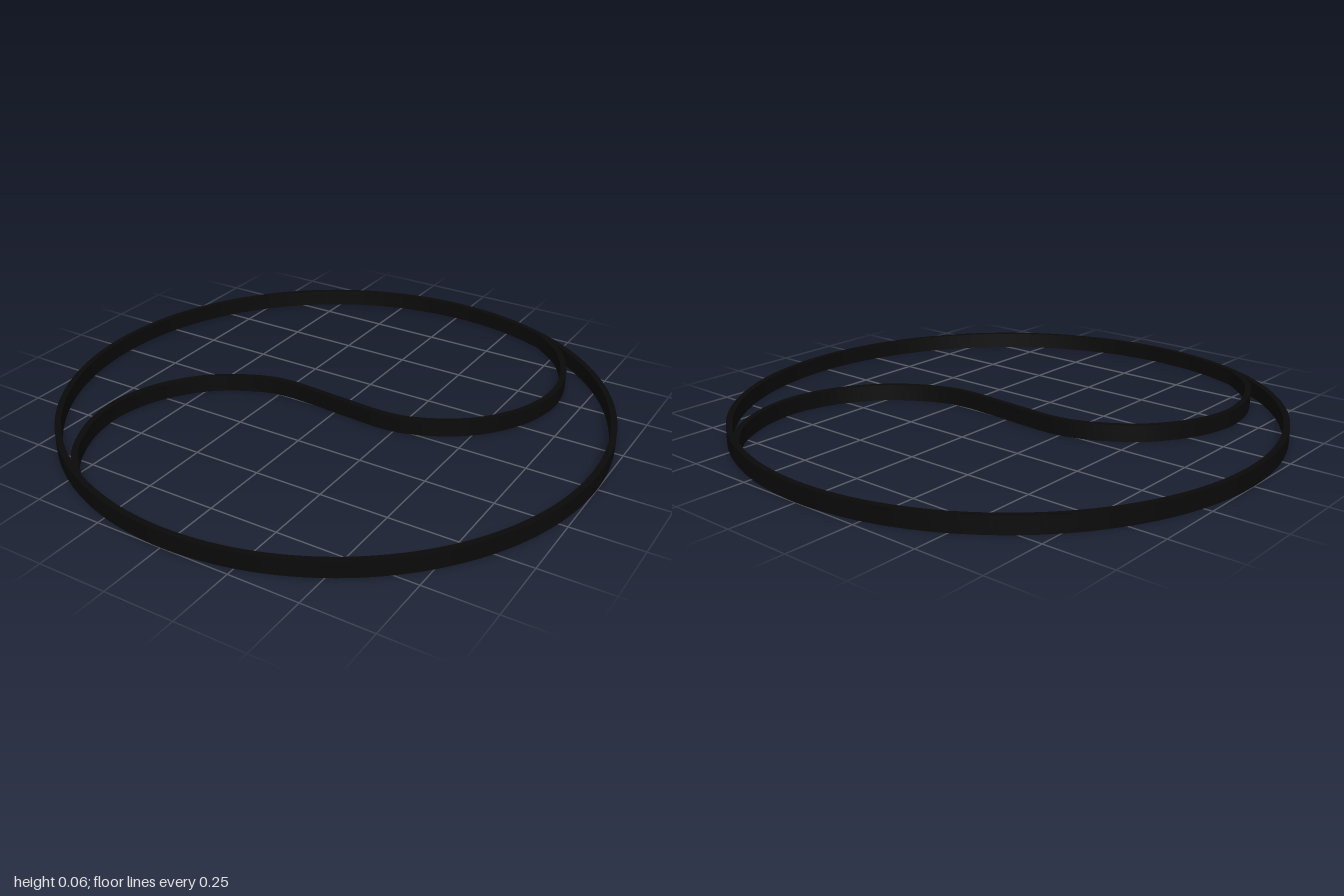
import * as THREE from 'three';
import { toCreasedNormals } from 'three/addons/utils/BufferGeometryUtils.js';

const HEIGHT = 0.06;
const WALL = 0.022;

// Raise a plan outline (x, -z) into an upright wall standing on y = 0
function wall(name, shape, material) {
  const geometry = new THREE.ExtrudeGeometry(shape, {
    depth: HEIGHT, bevelEnabled: false, curveSegments: 96,
  });
  geometry.rotateX(-Math.PI / 2);
  const mesh = new THREE.Mesh(toCreasedNormals(geometry, Math.PI / 6), material);
  mesh.name = name;
  return mesh;
}

export function createModel() {
  const group = new THREE.Group();
  group.name = 'dividedRing';
  const material = new THREE.MeshStandardMaterial({ color: 0x0a0a0a });

  // Outer ring
  const ring = new THREE.Shape().absarc(0, 0, 1, 0, Math.PI * 2, false);
  ring.holes.push(new THREE.Path().absarc(0, 0, 1 - WALL, 0, Math.PI * 2, true));
  group.add(wall('outerRing', ring, material));

  // Centre line of one half of the S, then its half-turn copy
  const half = [
    [0.1, -0.007], [0.2, -0.012], [0.3, 0.003], [0.42, 0.058], [0.525, 0.142],
    [0.61, 0.27], [0.65, 0.4], [0.652, 0.51], [0.62, 0.64], [0.54, 0.785], [0.42, 0.896],
  ].map(([x, y]) => new THREE.Vector2(x, y));
  const other = half.map((p) => p.clone().negate()).reverse();
  const path = new THREE.SplineCurve([...other, new THREE.Vector2(0, 0), ...half]);

  // Offset the centre line to both sides to make a closed ribbon
  const left = [], right = [];
  const steps = 160;
  for (let i = 0; i <= steps; i++) {
    const p = path.getPointAt(i / steps);
    const t = path.getTangentAt(i / steps);
    const n = new THREE.Vector2(-t.y, t.x).multiplyScalar(WALL / 2);
    left.push(p.clone().add(n));
    right.push(p.clone().sub(n));
  }
  group.add(wall('curvedDivider', new THREE.Shape([...right, ...left.reverse()]), material));

  return group;
}
